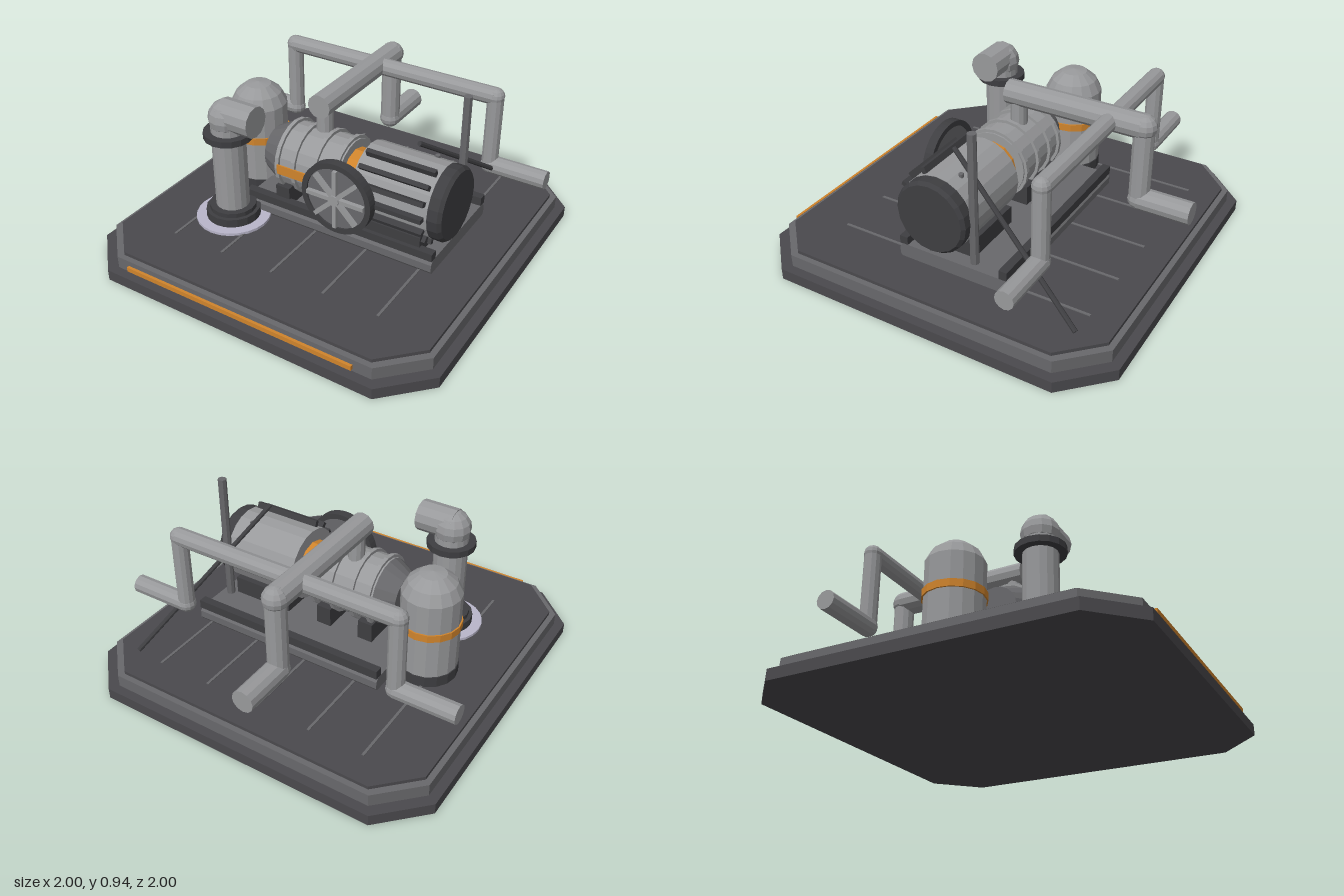
import * as THREE from 'three';

const mat = (name, color) => {
  const m = new THREE.MeshStandardMaterial({ color, flatShading: true });
  m.name = name;
  return m;
};

export function createModel() {
  const model = new THREE.Group();
  model.name = 'pumpStation';
  const deck = mat('deck charcoal', 0x4a494d);
  const dark = mat('dark iron', 0x3e3e41);
  const mid = mat('mid grey', 0x68686b);
  const steel = mat('steel', 0x98999b);
  const orange = mat('safety orange', 0xd0842c);
  const pale = mat('pale seal', 0xb9b6ca);

  const add = (name, geo, m, x = 0, y = 0, z = 0) => {
    const mesh = new THREE.Mesh(geo, m);
    mesh.name = name;
    mesh.position.set(x, y, z);
    model.add(mesh);
    return mesh;
  };
  // Box given by its min and max corners
  const box = (name, m, x0, x1, y0, y1, z0, z1) =>
    add(name, new THREE.BoxGeometry(x1 - x0, y1 - y0, z1 - z0), m, (x0 + x1) / 2, (y0 + y1) / 2, (z0 + z1) / 2);
  // Cylinder or cone running from point a to point b
  const rod = (name, m, a, b, r, sides = 12, r2 = r) => {
    const p = new THREE.Vector3(...a), q = new THREE.Vector3(...b), d = q.clone().sub(p);
    const mesh = add(name, new THREE.CylinderGeometry(r2, r, d.length(), sides), m);
    mesh.position.copy(p).add(q).multiplyScalar(0.5);
    mesh.quaternion.setFromUnitVectors(new THREE.Vector3(0, 1, 0), d.normalize());
    return mesh;
  };
  const joint = (name, m, p, r) => add(name, new THREE.SphereGeometry(r, 12, 8), m, ...p);
  // Pipe run with ball joints at its bends
  const pipe = (name, points, radii) => points.slice(1).forEach((p, i) => {
    rod(name, steel, points[i], p, radii[i]);
    if (i < points.length - 2) joint(name + 'Elbow', steel, p, Math.max(radii[i], radii[i + 1]));
  });

  // Eight-sided base tiers
  const tier = (name, m, r, c, y0, y1) => {
    const s = new THREE.Shape([[-c, -r], [c, -r], [r, -c], [r, c], [c, r], [-c, r], [-r, c], [-r, -c]]
      .map(([x, y]) => new THREE.Vector2(x, y)));
    const g = new THREE.ExtrudeGeometry(s, { depth: y1 - y0, bevelEnabled: false });
    add(name, g.rotateX(-Math.PI / 2), m, 0, y0, 0);
  };
  tier('basePlate', deck, 1, 0.78, 0, 0.06);
  tier('baseStep', mid, 0.95, 0.75, 0.06, 0.127);
  tier('deckPlate', deck, 0.92, 0.73, 0.127, 0.145);
  for (let i = -2; i <= 2; i++)
    box('deckSeam', mid, i * 0.306 - 0.007, i * 0.306 + 0.007, 0.143, 0.149, -0.77, 0.66);
  box('frontStripe', orange, -0.66, 0.66, 0.09, 0.115, 0.965, 0.98);

  // Skid with bevelled long edges and side rails
  const prof = [[-0.25, 0.145], [0.35, 0.145], [0.36, 0.16], [0.36, 0.2], [0.34, 0.222], [-0.24, 0.222], [-0.26, 0.2], [-0.26, 0.16]];
  const skid = new THREE.ExtrudeGeometry(new THREE.Shape(prof.map(p => new THREE.Vector2(...p))), { depth: 1.12, bevelEnabled: false });
  add('skid', skid.rotateY(Math.PI / 2), mid, -0.44);
  box('backRail', dark, -0.44, 0.68, 0.222, 0.27, -0.36, -0.315);
  box('frontRail', dark, -0.44, 0.68, 0.222, 0.265, 0.212, 0.258);

  const Y = 0.45, Z = 0.052;
  const axial = (name, m, x0, x1, r, r2 = r, sides = 20) => rod(name, m, [x0, Y, Z], [x1, Y, Z], r, sides, r2);

  // Pump barrel
  axial('barrelCone', mid, -0.37, -0.265, 0.125, 0.18);
  axial('barrel', steel, -0.265, 0.12, 0.18);
  for (const x of [-0.245, -0.145, -0.02, 0.1]) axial('barrelRing', steel, x - 0.011, x + 0.011, 0.196);
  box('barrelStripe', orange, -0.24, 0.07, 0.423, 0.477, 0.242, 0.25);
  for (const x of [-0.225, 0.03]) box('barrelSaddle', dark, x - 0.042, x + 0.042, 0.22, 0.33, -0.12, 0.225);
  axial('coupling', orange, 0.12, 0.21, 0.135, 0.135, 12);

  // Motor with cooling fins on its front half
  axial('motor', steel, 0.21, 0.635, 0.2);
  axial('motorCap', dark, 0.635, 0.69, 0.198);
  axial('motorCapEnd', dark, 0.69, 0.708, 0.198, 0.182);
  for (let i = -3; i <= 3; i++) {
    const a = i * Math.PI / 8;
    const fin = add('motorFin', new THREE.BoxGeometry(0.385, 0.024, 0.05), dark,
      0.428, Y + Math.sin(a) * 0.208, Z + Math.cos(a) * 0.208);
    fin.rotation.x = -a;
  }
  box('motorFoot', dark, 0.25, 0.6, 0.22, 0.32, -0.13, 0.235);
  rod('motorBolt', mid, [0.545, 0.6, -0.03], [0.545, 0.645, -0.03], 0.013, 8);

  // Handwheel
  rod('wheelShaft', steel, [0.17, Y, 0.1], [0.17, Y, 0.3], 0.025);
  rod('wheelDisc', mid, [0.17, Y, 0.285], [0.17, Y, 0.318], 0.18, 24);
  const rim = new THREE.Shape().absarc(0, 0, 0.2, 0, Math.PI * 2);
  rim.holes.push(new THREE.Path().absarc(0, 0, 0.17, 0, Math.PI * 2, true));
  add('wheelRim', new THREE.ExtrudeGeometry(rim, { depth: 0.05, bevelEnabled: false, curveSegments: 24 }), dark, 0.17, Y, 0.278);
  for (let i = 0; i < 4; i++)
    add('wheelSpoke', new THREE.BoxGeometry(0.33, 0.022, 0.024), steel, 0.17, Y, 0.33).rotation.z = i * Math.PI / 4;
  rod('wheelHub', steel, [0.17, Y, 0.315], [0.17, Y, 0.35], 0.03);

  // Upright pump with outlet
  const vx = -0.46, vz = 0.355;
  const upright = (name, m, y0, y1, r) => rod(name, m, [vx, y0, vz], [vx, y1, vz], r, 16);
  const seal = new THREE.Shape().absarc(0, 0, 0.2, 0, Math.PI * 2);
  seal.holes.push(new THREE.Path().absarc(0, 0, 0.145, 0, Math.PI * 2, true));
  add('floorSeal', new THREE.ExtrudeGeometry(seal, { depth: 0.017, bevelEnabled: false })
    .rotateX(-Math.PI / 2), pale, vx, 0.143, vz);
  upright('uprightBase', dark, 0.145, 0.205, 0.145);
  upright('uprightCollar', dark, 0.205, 0.23, 0.125);
  upright('uprightColumn', steel, 0.23, 0.74, 0.09);
  upright('uprightFlange', dark, 0.635, 0.67, 0.13);
  joint('outletElbow', steel, [vx, 0.745, vz], 0.1);
  rod('outlet', steel, [-0.48, 0.765, vz], [-0.28, 0.765, vz], 0.084);

  // Tank
  const tank = [[0, 0.145], [0.155, 0.145], [0.155, 0.63], [0.125, 0.69], [0.07, 0.735], [0, 0.745]];
  add('tank', new THREE.LatheGeometry(tank.map(p => new THREE.Vector2(...p)), 16), steel, -0.565, 0, -0.055);
  rod('tankFoot', dark, [-0.565, 0.145, -0.055], [-0.565, 0.205, -0.055], 0.16, 16);
  rod('tankBand', orange, [-0.565, 0.432, -0.055], [-0.565, 0.472, -0.055], 0.163, 16);

  // Pipework
  rod('riser', steel, [-0.085, 0.6, 0.02], [-0.085, 0.78, 0.02], 0.045);
  pipe('mainPipe', [[-0.085, 0.782, 0.08], [-0.085, 0.782, -0.685], [-0.085, 0.37, -0.685], [-0.085, 0.37, -0.97]], [0.066, 0.055, 0.06]);
  const yB = 0.78, zB = -0.512;
  pipe('crossPipe', [[-0.96, 0.37, zB], [-0.63, 0.37, zB], [-0.63, yB, zB], [0.63, yB, zB], [0.63, 0.37, zB], [0.955, 0.37, zB]],
    [0.05, 0.045, 0.048, 0.045, 0.05]);

  // Mast and leaning rod
  rod('mast', mid, [0.63, 0.22, -0.152], [0.63, 0.94, -0.152], 0.023, 8);
  rod('leaningRod', dark, [0.765, 0.165, -0.77], [0.48, 0.73, 0.05], 0.013, 8);

  return model;
}
